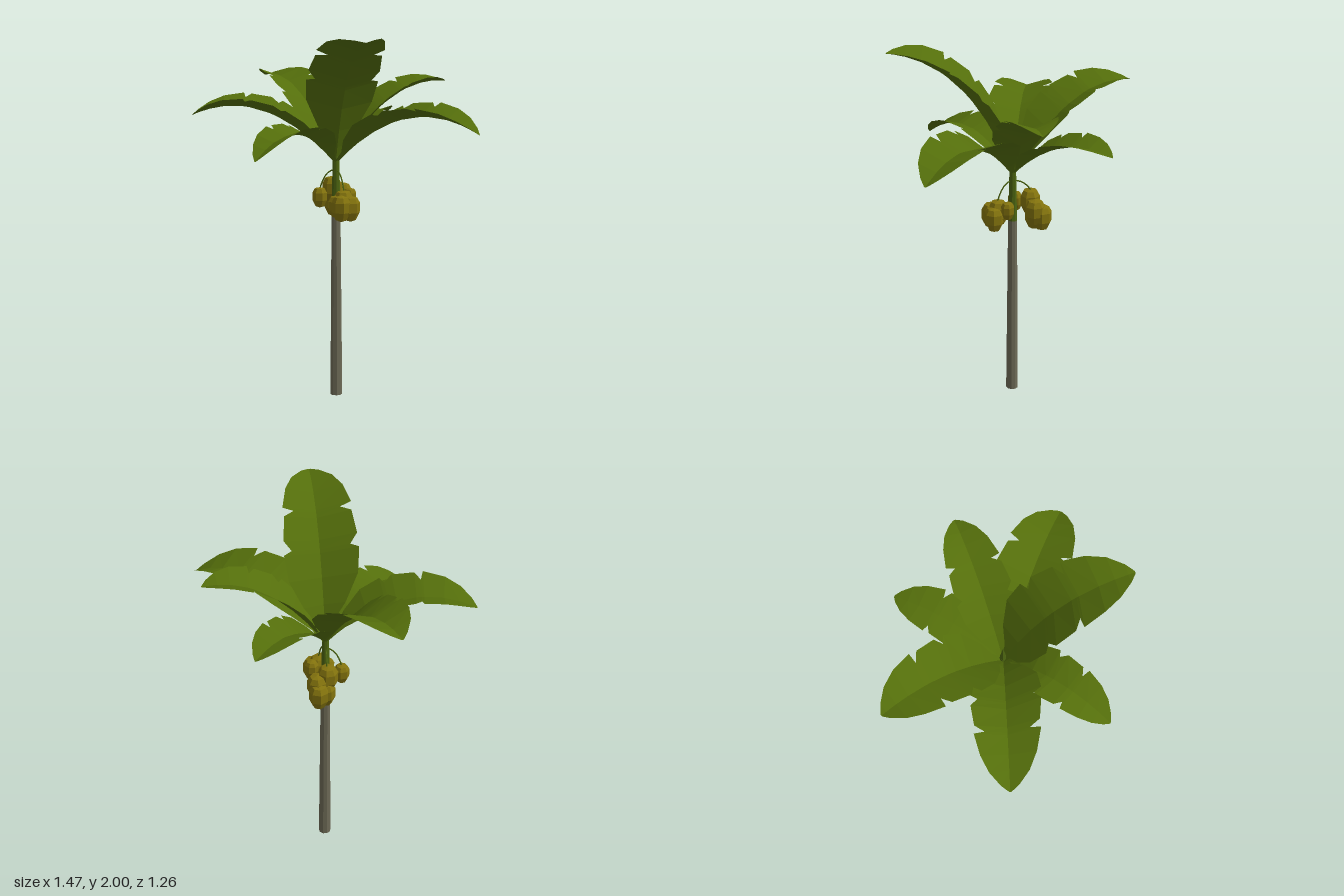
import * as THREE from 'three';

const leafGreen = new THREE.MeshStandardMaterial({ color: 0x546e0b, side: THREE.DoubleSide });
const stemGreen = new THREE.MeshStandardMaterial({ color: 0x4c6410 });
const barkGrey = new THREE.MeshStandardMaterial({ color: 0x6c6955 });
const fruitYellow = new THREE.MeshStandardMaterial({ color: 0x83730d });

const TRUNK_X = -0.074, TRUNK_Z = -0.022;

// faceted shading
function flat(geometry) {
  const g = geometry.index ? geometry.toNonIndexed() : geometry;
  g.computeVertexNormals();
  return g;
}

function addMesh(parent, name, geometry, material) {
  const mesh = new THREE.Mesh(flat(geometry), material);
  mesh.name = name;
  parent.add(mesh);
  return mesh;
}

// leaf outline: [position along midrib, half width], with torn notches
const OUTLINE = [
  [0, 0.08], [0.08, 0.2], [0.16, 0.56], [0.28, 0.92], [0.4, 1], [0.42, 0.78],
  [0.47, 0.98], [0.6, 0.9], [0.635, 0.62], [0.65, 0.92],
  [0.78, 0.77], [0.88, 0.55], [0.96, 0.25], [1, 0.03],
];
const COLUMNS = [-1, 0, 1];

// blade swept along an arching midrib, folded upward into a shallow V
function leafGeometry(tip, reach, archHeight, halfWidth, stagger) {
  const base = new THREE.Vector3(TRUNK_X, 1.3, TRUNK_Z);
  const control = base.clone().lerp(tip, reach).setY(archHeight);
  const midrib = new THREE.QuadraticBezierCurve3(base, control, tip);
  const up = new THREE.Vector3(0, 1, 0);
  const positions = [], index = [];
  OUTLINE.forEach(([t, w], i) => {
    const p = midrib.getPoint(t), along = midrib.getTangent(t);
    const side = up.clone().cross(along).normalize();
    const normal = along.clone().cross(side);
    const half = w * halfWidth;
    for (const u of COLUMNS) {
      const v = p.clone()
        .addScaledVector(side, u * half)
        .addScaledVector(normal, half * Math.abs(u) * (0.45 - 0.15 * t))
        .addScaledVector(along, u * stagger * w * (1 - t));
      positions.push(v.x, v.y, v.z);
    }
    if (i === 0) return;
    for (let c = 0; c < COLUMNS.length - 1; c++) {
      const a = (i - 1) * COLUMNS.length + c, b = a + COLUMNS.length;
      index.push(a, b, a + 1, a + 1, b, b + 1);
    }
  });
  const g = new THREE.BufferGeometry();
  g.setAttribute('position', new THREE.Float32BufferAttribute(positions, 3));
  g.setIndex(index);
  return g;
}

export function createModel() {
  const tree = new THREE.Group();
  tree.name = 'palmTree';

  // trunk and green crown shaft
  addMesh(tree, 'trunk', new THREE.CylinderGeometry(0.025, 0.034, 1.04, 9), barkGrey)
    .position.set(TRUNK_X, 0.52, TRUNK_Z);
  addMesh(tree, 'crownShaft', new THREE.CylinderGeometry(0.018, 0.025, 0.3, 9), stemGreen)
    .position.set(TRUNK_X, 1.19, TRUNK_Z);

  // leaves: tip x, y, z, reach of arch, arch height, half width, stagger
  const leaves = new THREE.Group();
  leaves.name = 'leaves';
  tree.add(leaves);
  [
    [-0.10, 1.525, -0.63, 0.47, 1.61, 0.135, 0.01],
    [0.33, 1.73, -0.51, 0.48, 1.77, 0.15, 0.03],
    [0.73, 1.5, -0.11, 0.5, 1.73, 0.185, 0.03],
    [0.38, 1.985, 0.445, 0.35, 1.94, 0.195, -0.02],
    [-0.15, 1.39, 0.625, 0.5, 1.64, 0.135, 0.02],
    [-0.735, 1.565, 0.37, 0.5, 1.74, 0.175, -0.03],
    [-0.73, 1.73, -0.32, 0.5, 1.81, 0.175, 0.03],
  ].forEach(([x, y, z, reach, arch, width, stagger]) =>
    addMesh(leaves, 'leaf',
      leafGeometry(new THREE.Vector3(x, y, z), reach, arch, width, stagger), leafGreen));

  // rolled young spear in the crown centre
  addMesh(tree, 'spear', new THREE.ConeGeometry(0.018, 0.12, 6), stemGreen)
    .position.set(TRUNK_X, 1.4, TRUNK_Z);

  // hanging fruit bunches: stalk end, then fruit x, y, z, scale
  const fruitProfile = [[0, -0.075], [0.03, -0.064], [0.05, -0.022],
    [0.051, 0.03], [0.036, 0.057], [0, 0.066]].map(p => new THREE.Vector2(...p));
  [
    { end: [0.01, 1.13, 0.025], fruits: [
      [0.0, 1.1, 0.02, 1.05], [0.04, 1.075, 0.015, 1], [0.01, 1.08, 0.06, 1.03],
      [-0.028, 1.085, 0.05, 0.88], [0.0, 1.125, -0.045, 0.72]] },
    { end: [-0.14, 1.2, -0.1], fruits: [
      [-0.14, 1.15, -0.09, 1.05], [-0.14, 1.075, -0.17, 1.03],
      [-0.145, 1.065, -0.115, 1], [-0.11, 1.11, -0.145, 1.05]] },
    { end: [-0.15, 1.16, 0.02], fruits: [[-0.15, 1.12, 0.02, 0.8]] },
  ].forEach(({ end, fruits }) => {
    const bunch = new THREE.Group();
    bunch.name = 'fruitBunch';
    tree.add(bunch);
    fruits.forEach(([x, y, z, s], i) => {
      const fruit = addMesh(bunch, 'fruit', new THREE.LatheGeometry(fruitProfile, 7), fruitYellow);
      fruit.position.set(x, y, z);
      fruit.scale.setScalar(s);
      fruit.rotation.y = i * 1.3;
    });

    // thin curved stalk from the crown down to the bunch
    const [x, y, z] = end;
    const stalk = new THREE.QuadraticBezierCurve3(
      new THREE.Vector3(TRUNK_X, 1.27, TRUNK_Z),
      new THREE.Vector3(x * 0.7 + TRUNK_X * 0.3, 1.27, z * 0.7 + TRUNK_Z * 0.3),
      new THREE.Vector3(x, y, z));
    addMesh(bunch, 'stalk', new THREE.TubeGeometry(stalk, 6, 0.004, 5), stemGreen);
  });

  return tree;
}
